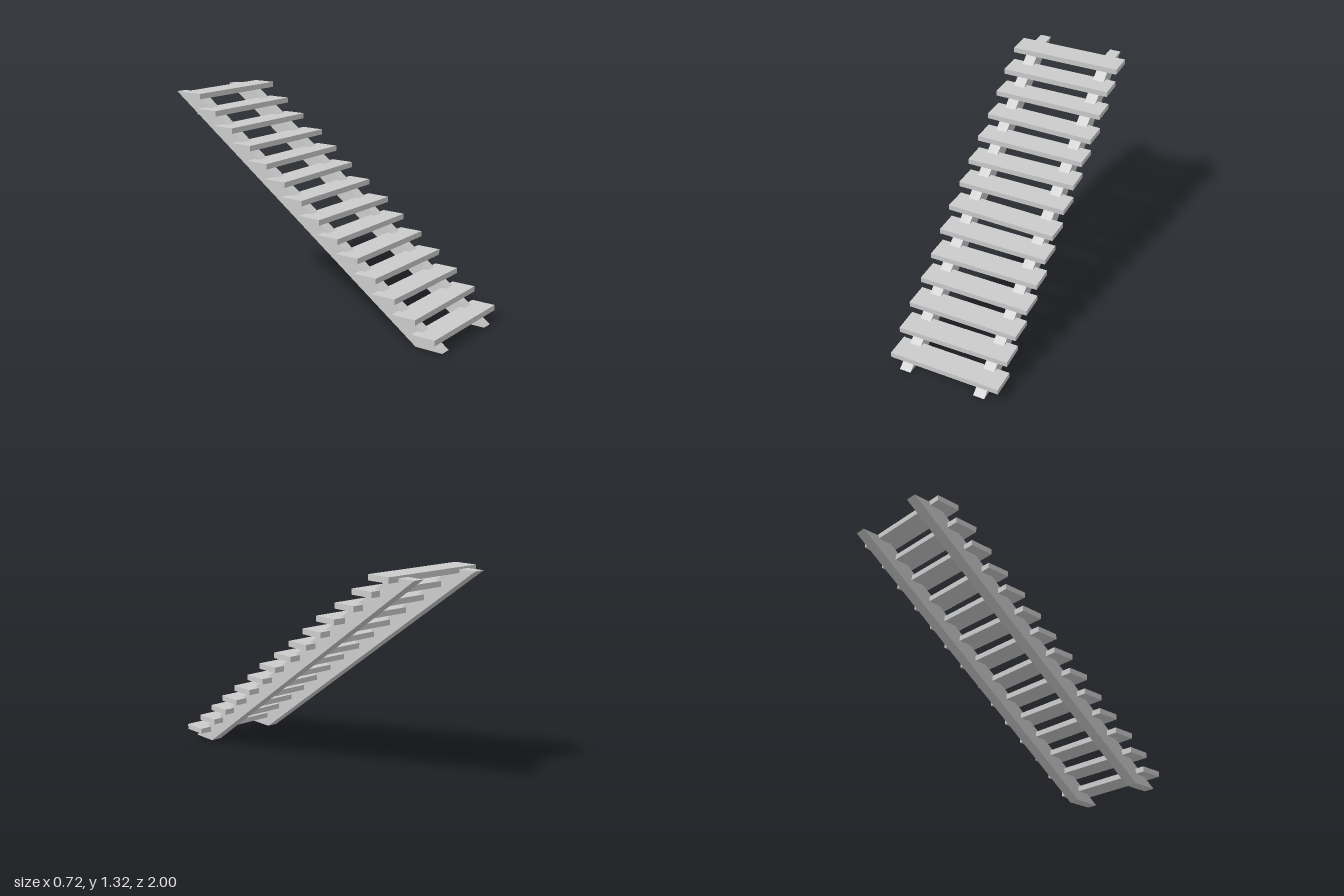
import * as THREE from 'three';

export function createModel() {
  const group = new THREE.Group();
  group.name = 'openStaircase';
  const material = new THREE.MeshStandardMaterial({ color: 0xcccccc, flatShading: true });

  // Sloping stringers: a parallelogram side profile, cut level at floor and top
  const height = 1.305, thickness = 0.072;
  const profile = new THREE.Shape([
    new THREE.Vector2(-1, 0),
    new THREE.Vector2(-0.825, 0),
    new THREE.Vector2(1, height),
    new THREE.Vector2(0.825, height),
  ]);
  const stringerGeometry = new THREE.ExtrudeGeometry(profile, { depth: thickness, bevelEnabled: false });
  stringerGeometry.translate(0, 0, -thickness / 2);
  stringerGeometry.rotateY(Math.PI / 2); // profile x becomes -z
  for (const [name, x] of [['leftStringer', 0.242], ['rightStringer', -0.25]]) {
    const stringer = new THREE.Mesh(stringerGeometry, material);
    stringer.name = name;
    stringer.position.x = x;
    group.add(stringer);
  }

  // Plank treads, each laid slightly askew: [x, z, yaw]
  const treads = [
    [0.005, 0.909, 0], [-0.004, 0.778, 0.016], [-0.006, 0.648, 0],
    [0.001, 0.515, 0], [0.003, 0.383, 0.008], [-0.003, 0.251, 0],
    [-0.006, 0.127, -0.022], [-0.003, -0.015, 0], [-0.003, -0.147, 0.018],
    [-0.003, -0.278, 0], [0.003, -0.406, -0.014], [-0.003, -0.548, 0],
    [-0.01, -0.677, 0], [-0.003, -0.81, 0],
  ];
  const treadGeometry = new THREE.BoxGeometry(0.709, 0.034, 0.153);
  treads.forEach(([x, z, yaw], i) => {
    const tread = new THREE.Mesh(treadGeometry, material);
    tread.name = `tread${i + 1}`;
    tread.position.set(x, 0.079 + i * 0.094, z);
    tread.rotation.y = yaw;
    group.add(tread);
  });

  return group;
}
